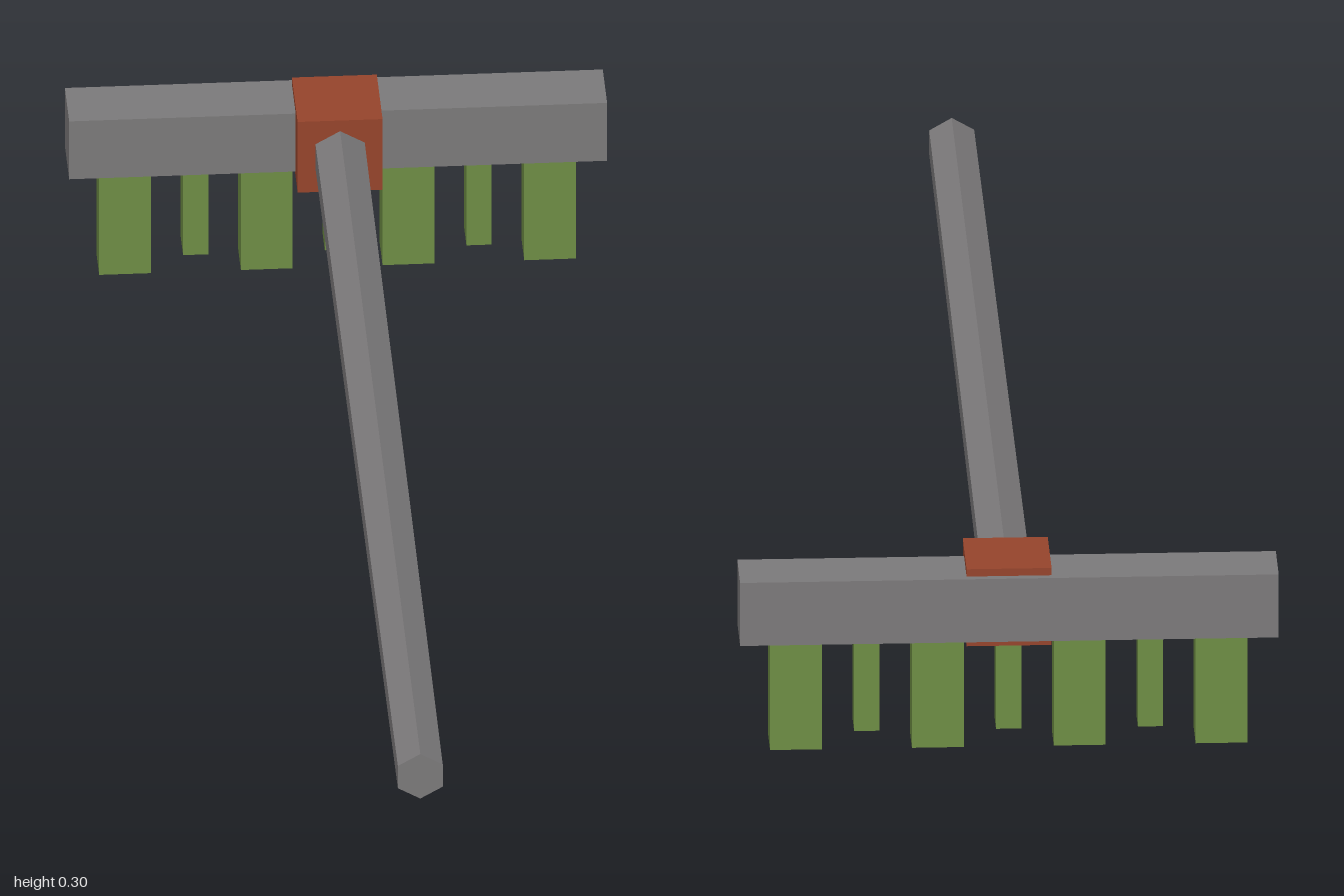
import * as THREE from 'three';

export function createModel() {
  const model = new THREE.Group();
  const material = (name, color) => {
    const m = new THREE.MeshStandardMaterial({ color, flatShading: true });
    m.name = name;
    return m;
  };
  const grey = material('grey', 0x7d7b7c);
  const green = material('green', 0x6f8f45);
  const rust = material('rust', 0x98452c);

  const add = (name, geometry, mat, x, y, z) => {
    const mesh = new THREE.Mesh(geometry, mat);
    mesh.name = name;
    mesh.position.set(x, y, z);
    model.add(mesh);
    return mesh;
  };

  // Rake head and the block that joins it to the handle
  add('headBar', new THREE.BoxGeometry(0.83, 0.104, 0.1), grey, 0, 0.233, -0.95);
  add('joinBlock', new THREE.BoxGeometry(0.131, 0.127, 0.133), rust, 0, 0.2335, -0.9215);

  // Slightly tapered six-sided handle
  const handle = new THREE.CylinderGeometry(0.04, 0.044, 1.9, 6);
  handle.rotateX(Math.PI / 2);
  add('handle', handle, grey, 0, 0.234, 0.05);

  // Wide, long teeth alternating with narrow, shorter ones
  for (let i = -3; i <= 3; i++) {
    const wide = i % 2 !== 0;
    const bottom = wide ? 0 : 0.027;
    const top = 0.19;
    const geometry = new THREE.BoxGeometry(wide ? 0.08 : 0.039, top - bottom, wide ? 0.066 : 0.055);
    add(wide ? 'wideTooth' : 'narrowTooth', geometry, green, i * 0.1093, (top + bottom) / 2, -0.945);
  }
  return model;
}
